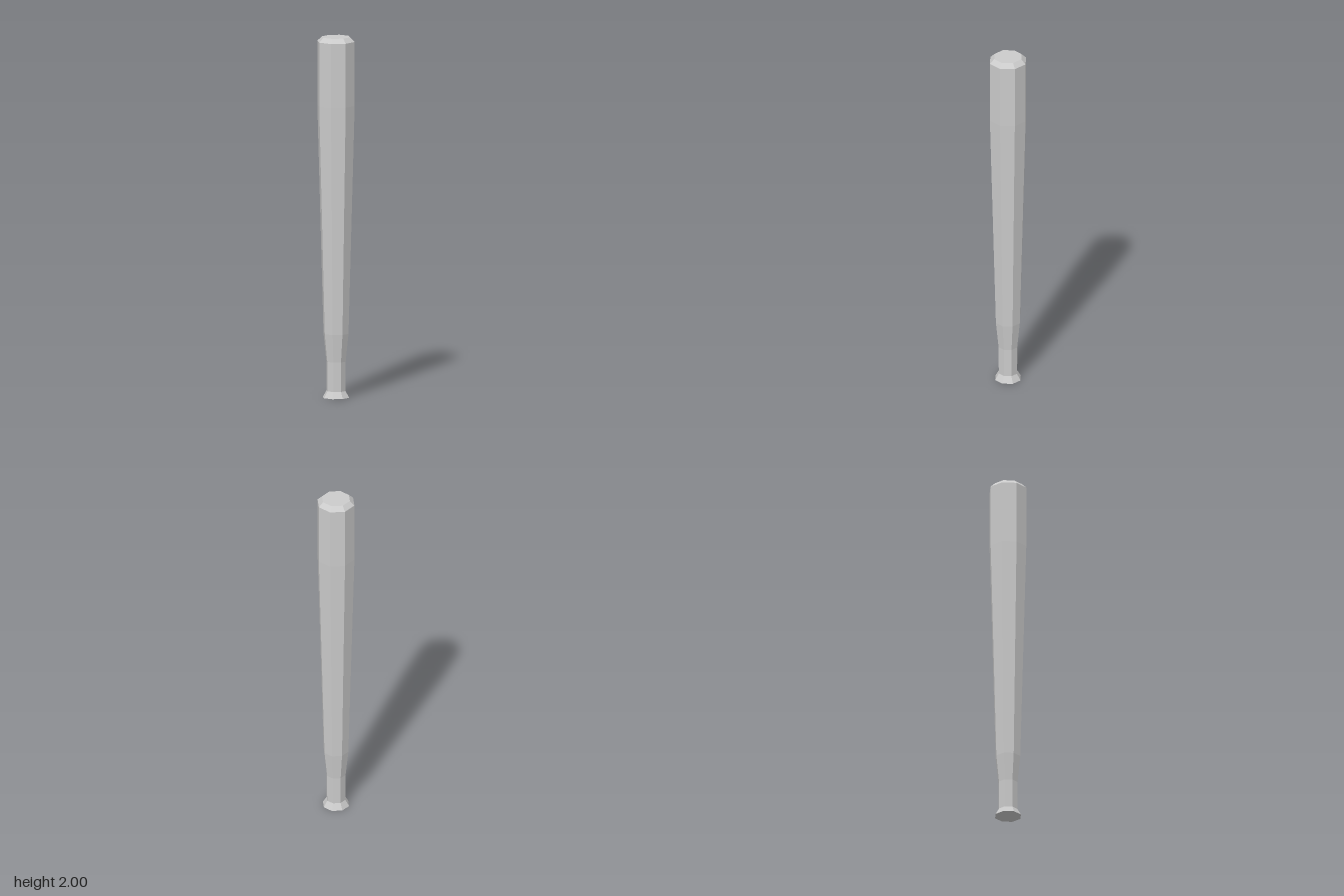
import * as THREE from 'three';

const SIDES = 8;

export function createModel() {
  const bat = new THREE.Group();
  bat.name = 'bat';
  const material = new THREE.MeshStandardMaterial({ color: 0xcccccc, flatShading: true });

  // Each part is an eight-sided lathe of [radius, height] points, listed upwards
  const addPart = (name, profile) => {
    const points = profile.map(([r, y]) => new THREE.Vector2(r, y));
    const mesh = new THREE.Mesh(new THREE.LatheGeometry(points, SIDES), material);
    mesh.name = name;
    bat.add(mesh);
  };

  // Flared knob with a flat base
  addPart('knob', [[0, 0], [0.075, 0], [0.054, 0.037]]);
  // Straight grip, widening into the barrel
  addPart('grip', [[0.054, 0.037], [0.055, 0.2], [0.071, 0.355]]);
  // Tapered barrel with a straight upper section
  addPart('barrel', [[0.071, 0.355], [0.106, 1.62], [0.106, 1.975]]);
  // Bevelled end with a flat top
  addPart('endCap', [[0.106, 1.975], [0.08, 2], [0, 2]]);

  return bat;
}
